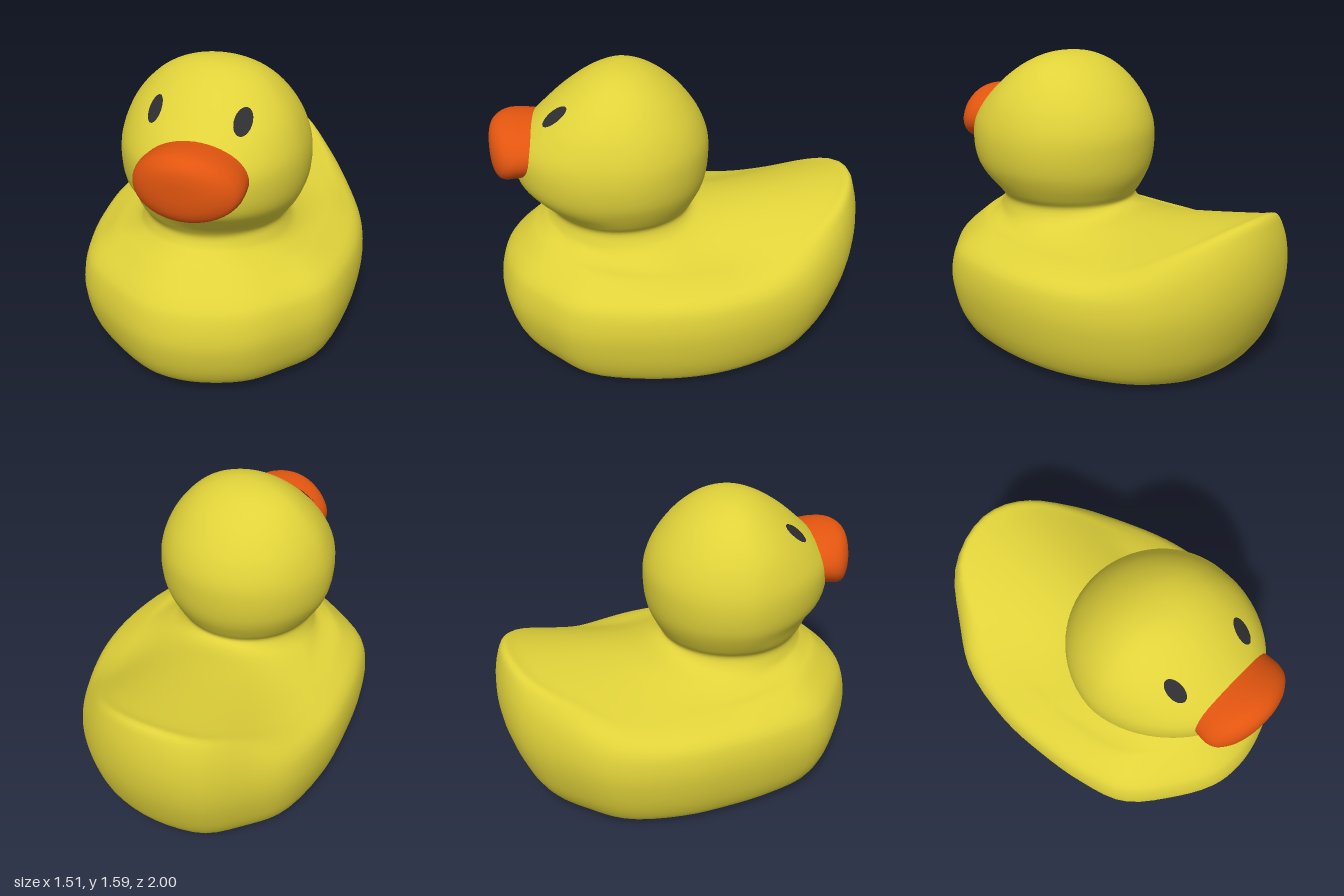
import * as THREE from 'three';

const COLS = 80;
const mat = (name, color) => {
  const m = new THREE.MeshStandardMaterial({ color });
  m.name = name;
  return m;
};
const named = (name, geometry, material) => {
  const mesh = new THREE.Mesh(geometry, material);
  mesh.name = name;
  return mesh;
};

// Closed-ring loft: point(row, col) -> Vector3, counter-clockwise rings from start to end
function loft(rows, cols, point) {
  const pos = [], idx = [];
  for (let j = 0; j < rows; j++) for (let i = 0; i < cols; i++) pos.push(...point(j, i).toArray());
  for (let j = 0; j < rows - 1; j++) {
    for (let i = 0; i < cols; i++) {
      const k = (i + 1) % cols, a = j * cols, b = a + cols;
      idx.push(a + i, a + k, b + k, a + i, b + k, b + i);
    }
  }
  const g = new THREE.BufferGeometry();
  g.setAttribute('position', new THREE.Float32BufferAttribute(pos, 3));
  g.setIndex(idx);
  g.computeVertexNormals();
  return g;
}

// Widest plan outline of the body, from the chest round by +x
const OUTLINE = [
  [0.03, 1], [0.2, 0.97], [0.4, 0.88], [0.56, 0.72], [0.7, 0.53], [0.75, 0.2], [0.73, -0.1],
  [0.66, -0.35], [0.52, -0.63], [0.4, -0.78], [0.18, -0.94], [-0.1, -1], [-0.4, -0.92],
  [-0.59, -0.69], [-0.71, -0.48], [-0.76, -0.12], [-0.74, 0.15], [-0.69, 0.42], [-0.59, 0.68], [-0.37, 0.86], [-0.14, 0.98],
];
// Body rings: scale and height at the front, side and back
const BODY = [
  [0, 0, 0, 0, 0, 0], [0.35, 0, 0.35, 0, 0.3, 0], [0.65, 0, 0.62, 0, 0.52, 0],
  [0.84, 0.042, 0.78, 0.022, 0.66, 0.004], [0.9, 0.07, 0.86, 0.05, 0.76, 0.025],
  [0.95, 0.14, 0.93, 0.14, 0.86, 0.14], [0.985, 0.24, 0.98, 0.27, 0.93, 0.29],
  [1, 0.36, 1, 0.41, 0.985, 0.48], [0.97, 0.5, 0.975, 0.525, 1, 0.66],
  [0.93, 0.56, 0.925, 0.575, 0.98, 0.82], [0.87, 0.62, 0.85, 0.605, 0.945, 0.905], [0.81, 0.675, 0.76, 0.63, 0.87, 0.89],
];
// Back rings: blend towards the neck, height at the front, side and back
const BACK = [[0.35, 0.7, 0.65, 0.84], [0.7, 0.73, 0.685, 0.795], [0.95, 0.755, 0.735, 0.775]];
// Neck and head rings: height, half width, back z, front z
const HEAD = [
  [0.8, 0.37, -0.065, 0.7], [0.85, 0.405, -0.09, 0.725], [0.93, 0.45, -0.13, 0.79], [1.0, 0.477, -0.15, 0.85],
  [1.1, 0.49, -0.16, 0.87], [1.2, 0.483, -0.155, 0.86], [1.3, 0.452, -0.12, 0.79],
  [1.38, 0.41, -0.07, 0.71], [1.46, 0.345, 0, 0.62], [1.53, 0.26, 0.09, 0.52],
  [1.575, 0.16, 0.18, 0.43], [1.593, 0.07, 0.26, 0.36], [1.596, 0, 0.31, 0.31],
];

function headPoint([y, hw, zb, zf], a) {
  const c = Math.cos(a), f = Math.max(0, c), mid = Math.min(0.32, (zb + zf) / 2);
  const z = mid + c * (c > 0 ? zf - mid : mid - zb);
  const lean = y > 0.85 ? 0.05 * f * hw / 0.49 : 0; // the face turns slightly to +x
  return new THREE.Vector3(0.02 + hw * (1 - 0.08 * f * f) * Math.sin(a) + lean, y, z);
}

// One smooth skin: flat base, hull, raised tail, neck and head
function skinGeometry() {
  const plan = new THREE.CatmullRomCurve3(OUTLINE.map(([x, z]) => new THREE.Vector3(x, 0, z)), true);
  const rows = 110;
  const columns = Array.from({ length: COLS }, (_, i) => {
    const o = plan.getPoint(i / COLS);
    const a = Math.atan2(o.x, o.z);
    const wf = Math.max(0, Math.cos(a)) ** 2;
    const wb = Math.max(0, -Math.cos(a - 0.12)) ** 5 * (1 - wf);
    const blend = (f, s, b) => f * wf + b * wb + s * (1 - wf - wb);
    const pts = BODY.map(([fs, fy, ss, sy, bs, by], j) => {
      const p = o.clone().multiplyScalar(blend(fs, ss, bs));
      p.y = j < 3 ? 0.02 + 0.026 * p.z : blend(fy, sy, by);
      return p;
    });
    const rim = pts[pts.length - 1], neck = headPoint([0.77, 0.38, -0.075, 0.71], a);
    for (const [t, f, s, b] of BACK) {
      const p = rim.clone().lerp(neck, t);
      p.y = blend(f, s, b);
      pts.push(p);
    }
    for (const r of HEAD) pts.push(headPoint(r, a));
    return new THREE.CatmullRomCurve3(pts);
  });
  return loft(rows, COLS, (j, i) => columns[i].getPoint(j / (rows - 1)));
}

// Rounded bill with an upturned upper lip
function beakGeometry() {
  const profile = new THREE.CatmullRomCurve3(
    [[0.95, -0.8], [1, -0.1], [1, 0.35], [0.92, 0.67], [0.7, 0.89], [0.4, 0.98], [0, 1]]
      .map(([r, d]) => new THREE.Vector3(r, d, 0)));
  const rows = 24, cols = 48;
  return loft(rows, cols, (j, i) => {
    const { x: r, y: d } = profile.getPoint(j / (rows - 1));
    const a = i / cols * Math.PI * 2, c = Math.cos(a), s = Math.sin(a);
    const y = 1.18 + 0.16 * r * s;
    const depth = 0.165 + 0.06 * r * s - 0.03 * r * r * c * c;
    const z = 0.82 - 0.32 * (y - 1.18) - 0.02 * r * r * c * c + depth * d;
    return new THREE.Vector3(0.075 + 0.27 * r * c * (1 - 0.08 * s), y + 0.02 * Math.max(0, d) * r * s, z);
  });
}

// Oval eye laid on the head surface
function eyeGeometry(skin, x, y, tilt) {
  const g = new THREE.CircleGeometry(1, 28);
  g.scale(0.037, 0.052, 1).rotateZ(tilt).translate(x, y, 0);
  const ray = new THREE.Raycaster(), p = g.attributes.position;
  const dir = new THREE.Vector3(0, 0, -1);
  for (let i = 0; i < p.count; i++) {
    ray.set(new THREE.Vector3(p.getX(i), p.getY(i), 2), dir);
    const hit = ray.intersectObject(skin)[0];
    p.setZ(i, (hit ? hit.point.z : 0.6) + 0.009);
  }
  g.computeVertexNormals();
  return g;
}

export function createModel() {
  const yellow = mat('yellow', 0xe0d23a);
  const orange = mat('orange', 0xe2550f);
  const black = mat('eyeBlack', 0x2e2e30);
  const navy = mat('navy', 0x0e2a62);
  const model = new THREE.Group();
  model.name = 'bathDuck';

  const skin = named('bodyAndHead', skinGeometry(), yellow);
  model.add(skin, named('beak', beakGeometry(), orange));
  model.add(named('rightEye', eyeGeometry(skin, -0.18, 1.41, -0.25), black));
  model.add(named('leftEye', eyeGeometry(skin, 0.265, 1.41, 0.4), black));

  // Round plug under the tilted base
  const plug = named('basePlug', new THREE.CircleGeometry(0.43, 40).rotateX(Math.PI / 2 - 0.026), navy);
  plug.position.set(-0.02, 0.013, -0.08);
  model.add(plug);
  return model;
}
